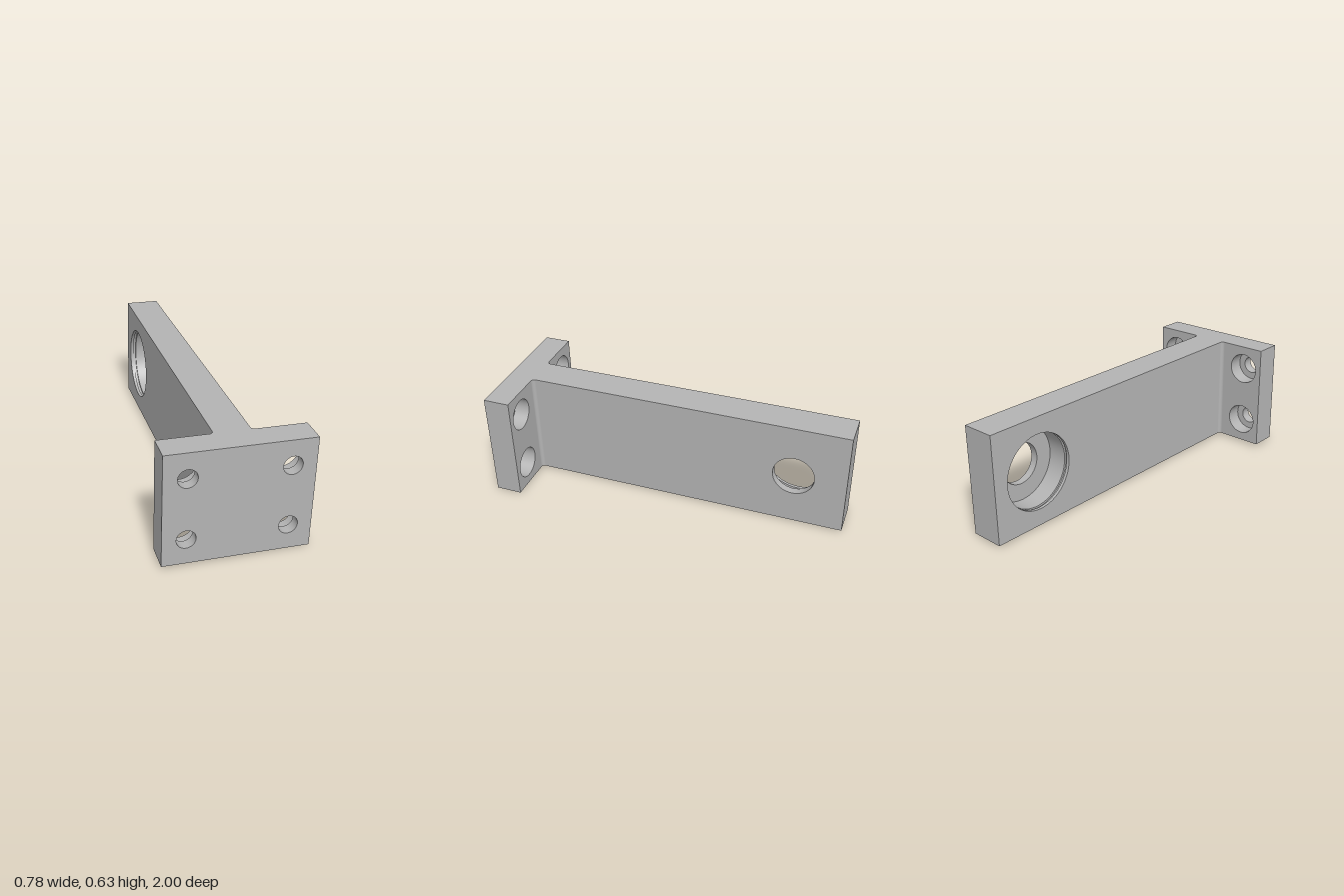
import * as THREE from 'three';
import { mergeGeometries } from 'three/addons/utils/BufferGeometryUtils.js';

const H = 0.308;                       // half height of the whole bracket
const W = 0.384;                       // half width of the flange
const T = 0.096;                       // half thickness of the arm
const R = 0.02;                        // fillet between arm and flange
const BACK = -1, FRONT = 1, STEP = 0.85; // arm end, flange front, flange back
const BORE_Z = -0.705;
const BOLT_X = 0.2615, BOLT_Y = 0.169;

// Flat rectangle with round holes, facing +z
function panel(x0, x1, holes = []) {
  const s = new THREE.Shape([[x0, -H], [x1, -H], [x1, H], [x0, H]].map(p => new THREE.Vector2(...p)));
  for (const [x, y, r] of holes) {
    const h = new THREE.Path();
    h.absarc(x, y, r, 0, Math.PI * 2, true);
    s.holes.push(h);
  }
  return new THREE.ShapeGeometry(s, 32);
}

// Stepped bore around the y axis, each step with its own crisp edges
function bore(profile) {
  const steps = [];
  for (let i = 0; i < profile.length - 1; i++) {
    steps.push(new THREE.LatheGeometry([profile[i], profile[i + 1]].map(p => new THREE.Vector2(...p)), 64));
  }
  return mergeGeometries(steps);
}

// T-shaped outline with filleted inner corners, for the top (s = -1) and bottom (s = 1)
function cap(s) {
  const t = new THREE.Shape();
  t.moveTo(-T, BACK);
  t.lineTo(T, BACK);
  t.lineTo(T, STEP - R);
  t.absarc(T + R, STEP - R, R, Math.PI, Math.PI / 2, true);
  t.lineTo(W, STEP);
  t.lineTo(W, FRONT);
  t.lineTo(-W, FRONT);
  t.lineTo(-W, STEP);
  t.lineTo(-T - R, STEP);
  t.absarc(-T - R, STEP - R, R, Math.PI / 2, 0, true);
  const outline = new THREE.Shape(t.getPoints(8).map(p => new THREE.Vector2(p.x, p.y * s)));
  return new THREE.ShapeGeometry(outline).rotateX(s * Math.PI / 2).translate(0, -s * H, 0);
}

export function createModel() {
  const steel = new THREE.MeshStandardMaterial({ color: 0xb4b4b4, side: THREE.DoubleSide });
  steel.name = 'steel grey';
  const bracket = new THREE.Group();
  bracket.name = 'bracket';
  const add = (name, geometry) => {
    const mesh = new THREE.Mesh(geometry, steel);
    mesh.name = name;
    bracket.add(mesh);
    return mesh;
  };
  const Q = Math.PI / 2;

  // Top and bottom
  add('topFace', cap(-1));
  add('bottomFace', cap(1));

  // Arm: sides with the bearing hole, and the end
  add('armLeftSide', panel(R - STEP, -BACK, [[-BORE_Z, 0, 0.117]]).rotateY(Q).translate(T, 0, 0));
  add('armRightSide', panel(BACK, STEP - R, [[BORE_Z, 0, 0.213]]).rotateY(-Q).translate(-T, 0, 0));
  add('armEnd', panel(-T, T).rotateY(Math.PI).translate(0, 0, BACK));

  // Bearing seat with a ring groove near its mouth
  add('bearingSeat', bore([
    [0.213, -T], [0.213, -0.078], [0.224, -0.078], [0.224, -0.062],
    [0.213, -0.062], [0.213, 0.052], [0.117, 0.052], [0.117, T],
  ]).rotateZ(-Q).translate(0, 0, BORE_Z));

  // Flange front with four bolt holes
  const bolts = [];
  for (const x of [-BOLT_X, BOLT_X]) for (const y of [-BOLT_Y, BOLT_Y]) bolts.push([x, y]);
  add('flangeFront', panel(-W, W, bolts.map(([x, y]) => [x, y, 0.05])).translate(0, 0, FRONT));

  // Flange back, ends and fillets on both sides of the arm
  for (const s of [-1, 1]) {
    const side = s > 0 ? 'Left' : 'Right';
    const ends = [-s * (T + R), -s * W].sort((a, b) => a - b);
    const holes = [-BOLT_Y, BOLT_Y].map(y => [-s * BOLT_X, y, 0.09]);
    add('flangeBack' + side, panel(...ends, holes).rotateY(Math.PI).translate(0, 0, STEP));
    const half = (FRONT - STEP) / 2;
    add('flangeEnd' + side, panel(-half, half).rotateY(s * Q).translate(s * W, 0, STEP + half));
    add('fillet' + side, new THREE.CylinderGeometry(R, R, 2 * H, 8, 1, true, s > 0 ? -Q : 0, Q)
      .translate(s * (T + R), 0, STEP - R));
  }

  // Counterbored bolt holes
  const boltBore = bore([[0.09, STEP], [0.09, 0.94], [0.05, 0.94], [0.05, FRONT]]).rotateX(Q);
  for (const [x, y] of bolts) add('boltHole', boltBore).position.set(x, y, 0);

  // The whole bracket leans slightly about its long axis
  bracket.rotation.z = -0.0235;
  bracket.position.y = 0.317;
  const model = new THREE.Group();
  model.name = 'mountingBracket';
  model.add(bracket);
  return model;
}
